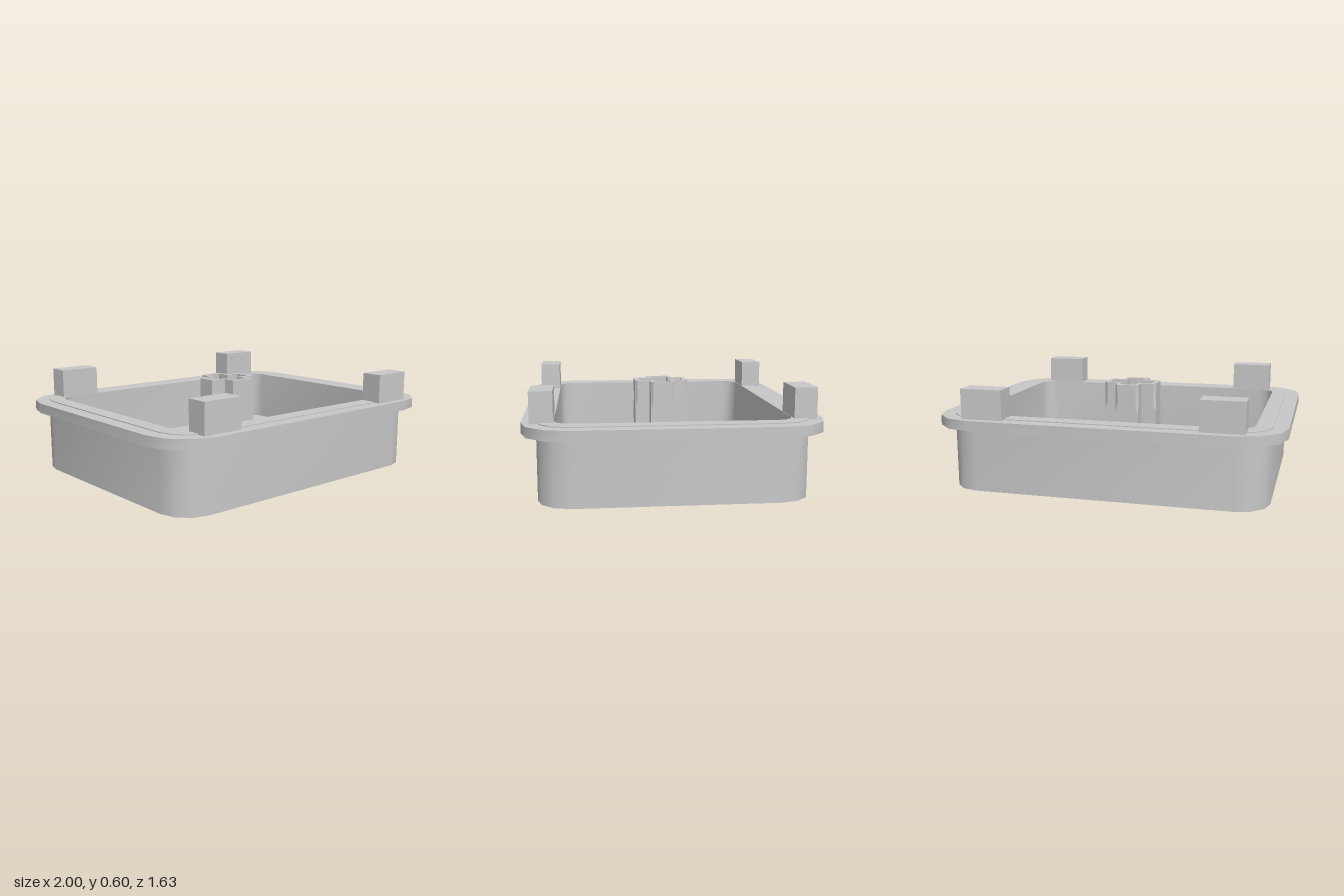
import * as THREE from 'three';
import { toCreasedNormals } from 'three/addons/utils/BufferGeometryUtils.js';

// Rounded rectangle ring at height y, with three steps per corner
function roundRect(hx, hz, r, y) {
  const pts = [], seg = 3;
  [[1, 1], [-1, 1], [-1, -1], [1, -1]].forEach(([sx, sz], q) => {
    for (let i = 0; i <= seg; i++) {
      const a = (q + i / seg) * Math.PI / 2;
      pts.push([sx * (hx - r) + r * Math.cos(a), y, sz * (hz - r) + r * Math.sin(a)]);
    }
  });
  return pts;
}

// Plus-shaped ring: arm length a, arm half width b, tip corners cut by c
function plusRing(a, b, c, y) {
  const pts = [];
  for (let q = 0; q < 4; q++) {
    const cs = Math.round(Math.cos(q * Math.PI / 2)), sn = Math.round(Math.sin(q * Math.PI / 2));
    for (const [x, z] of [[a - c, -b], [a, -b + c], [a, b - c], [a - c, b], [b, b]]) {
      pts.push([x * cs - z * sn, y, x * sn + z * cs]);
    }
  }
  return pts;
}

// Ring collapsed to the axis, used to close a flat face
const centre = (n, y) => Array.from({ length: n }, () => [0, y, 0]);

// Skin a series of rings with equal point counts
function loft(rings, crease) {
  const n = rings[0].length, pos = rings.flat(2), idx = [];
  for (let k = 0; k < rings.length - 1; k++) {
    for (let i = 0; i < n; i++) {
      const j = (i + 1) % n, a = k * n + i, b = k * n + j;
      idx.push(a, a + n, b, b, a + n, b + n);
    }
  }
  const geo = new THREE.BufferGeometry();
  geo.setAttribute('position', new THREE.Float32BufferAttribute(pos, 3));
  geo.setIndex(idx);
  return toCreasedNormals(geo, crease);
}

export function createModel() {
  const group = new THREE.Group();
  const grey = new THREE.MeshStandardMaterial({ color: 0xc8c8c8 });
  const add = (name, geo) => {
    const mesh = new THREE.Mesh(geo, grey);
    mesh.name = name;
    group.add(mesh);
    return mesh;
  };

  const floorY = 0.11, rimY = 0.43, flangeY = 0.425;

  // Open tray with a shallow square recess underneath
  add('tray', loft([
    centre(16, 0.03),
    roundRect(0.247, 0.247, 0.05, 0.03),
    roundRect(0.247, 0.247, 0.05, 0),
    roundRect(0.917, 0.735, 0.18, 0),
    roundRect(0.917, 0.735, 0.18, rimY),
    roundRect(0.826, 0.64, 0.09, rimY),
    roundRect(0.826, 0.64, 0.09, floorY),
    centre(16, floorY),
  ], 0.6));

  // Flange around the rim
  add('flange', loft([
    roundRect(0.9, 0.72, 0.17, 0.367),
    roundRect(1, 0.815, 0.262, 0.367),
    roundRect(1, 0.815, 0.262, flangeY),
    roundRect(0.9, 0.72, 0.17, flangeY),
  ], 0.6));

  // Hollow cross-shaped stem, its tip corners cut back near the top
  add('stem', loft([
    plusRing(0.163, 0.073, 0, floorY),
    plusRing(0.163, 0.073, 0, 0.38),
    plusRing(0.163, 0.073, 0.016, 0.43),
    plusRing(0.163, 0.073, 0.016, 0.555),
    plusRing(0.132, 0.051, 0, 0.555),
    plusRing(0.132, 0.051, 0, floorY + 0.005),
    centre(20, floorY + 0.005),
  ], 0.3));

  // Four locating tabs standing on the rim
  for (const sx of [1, -1]) {
    for (const sz of [1, -1]) {
      const tab = add((sz > 0 ? 'front' : 'back') + (sx > 0 ? 'Left' : 'Right') + 'Tab',
        new THREE.BoxGeometry(0.242, 0.177, 0.125));
      tab.position.set(sx * 0.673, 0.5085, sz * 0.705);
    }
  }
  return group;
}
